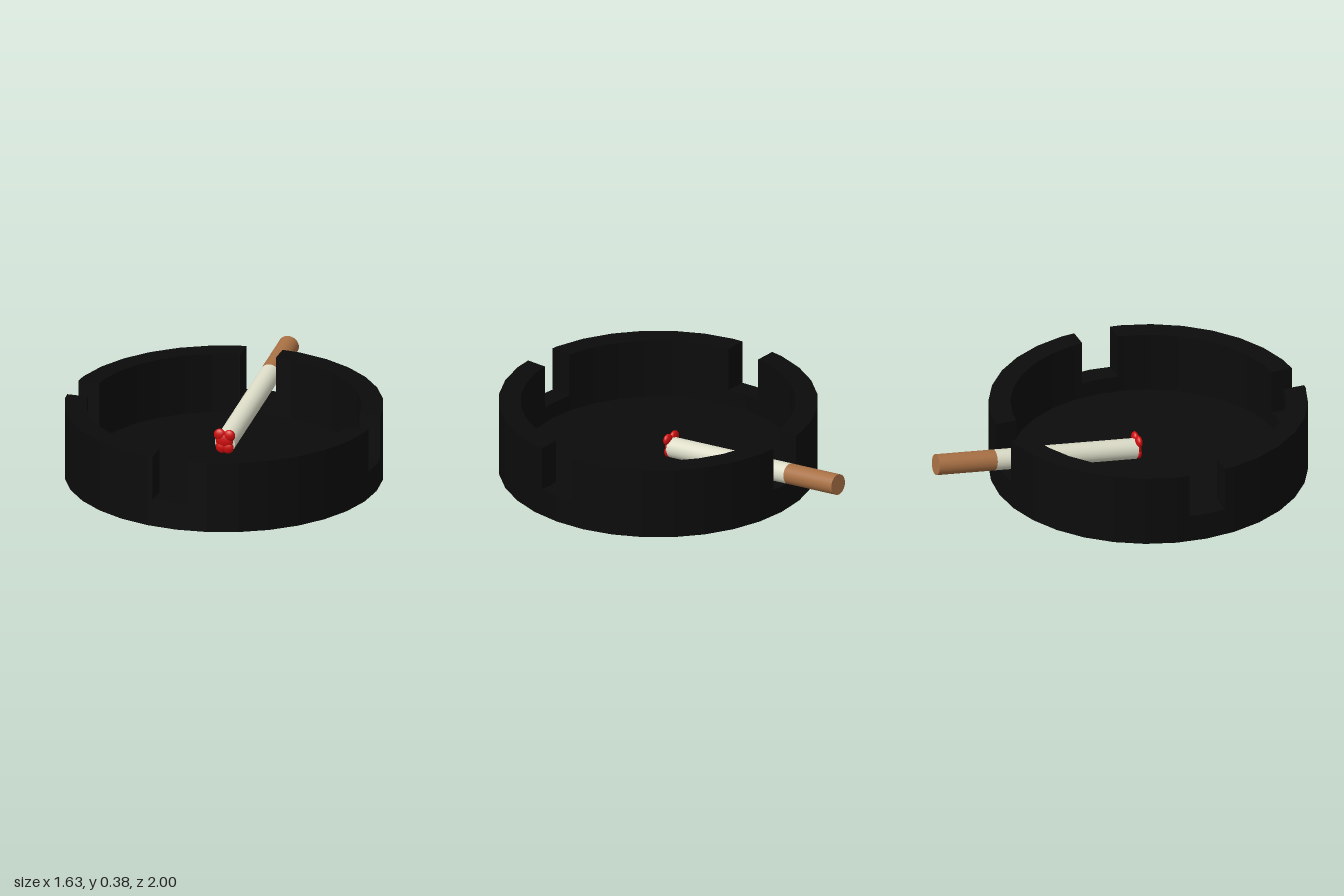
import * as THREE from 'three';

const mat = (name, color, flatShading = false) => {
  const m = new THREE.MeshStandardMaterial({ color, flatShading });
  m.name = name;
  return m;
};

const SIDES = 32, OUTER = 0.817, INNER = 0.705;
const FLOOR = 0.06, SILL = 0.145, RIM = 0.38;

// One quarter of the slotted wall; a and b are the slot edges along x and z
function wallQuarter(sx, sz, a, b) {
  const step = (2 * Math.PI) / SIDES;
  const arc = (r) => {
    const edge = (t) => r - t * Math.tan(step / 2);
    const pts = [[edge(b), b]];
    for (let k = 1; k < SIDES / 4; k++) pts.push([r * Math.cos(k * step), r * Math.sin(k * step)]);
    pts.push([a, edge(a)]);
    return pts;
  };
  const outline = [...arc(OUTER), ...arc(INNER).reverse()];
  const shape = new THREE.Shape(outline.map(([x, z]) => new THREE.Vector2(sx * x, -sz * z)));
  const geo = new THREE.ExtrudeGeometry(shape, { depth: RIM - SILL, bevelEnabled: false });
  return geo.rotateX(-Math.PI / 2).translate(0, SILL, 0);
}

export function createModel() {
  const model = new THREE.Group();
  model.name = 'ashtrayWithCigarette';
  const black = mat('black', 0x0b0b0b, true);
  const paper = mat('paper', 0xdcdcc8);
  const tan = mat('filterBrown', 0xa87044);
  const red = mat('emberRed', 0xd00c0c);

  const add = (parent, name, geo, material) => {
    const mesh = new THREE.Mesh(geo, material);
    mesh.name = name;
    parent.add(mesh);
    return mesh;
  };

  // Tray: dished base and four wall quarters separated by slots
  const tray = new THREE.Group();
  tray.name = 'tray';
  tray.position.z = 0.18;
  model.add(tray);
  const profile = [[0, 0], [OUTER, 0], [OUTER, SILL], [INNER, SILL], [INNER, FLOOR], [0, FLOOR]];
  add(tray, 'base', new THREE.LatheGeometry(profile.map(([x, y]) => new THREE.Vector2(x, y)), SIDES), black);
  for (const sx of [1, -1]) for (const sz of [1, -1]) {
    const name = `wall${sz > 0 ? 'Front' : 'Back'}${sx > 0 ? 'Left' : 'Right'}`;
    add(tray, name, wallQuarter(sx, sz, sx > 0 ? 0.06 : 0.13, sz > 0 ? 0.105 : 0.09), black);
  }

  // Cigarette: local +z runs towards the burning end
  const cigarette = new THREE.Group();
  cigarette.name = 'cigarette';
  cigarette.position.set(-0.02, 0.258, -0.994);
  cigarette.rotation.x = 0.114;
  model.add(cigarette);
  const rod = (name, from, to, material) => add(cigarette, name,
    new THREE.CylinderGeometry(0.054, 0.054, to - from, 32)
      .rotateX(Math.PI / 2).translate(0, 0, (from + to) / 2), material);
  rod('filter', 0, 0.32, tan);
  rod('paperTube', 0.32, 1.1, paper);

  // Ember: flattened lumps on the burning end
  const ember = new THREE.Group();
  ember.name = 'ember';
  ember.position.set(-0.02, 0.145, 0.11);
  model.add(ember);
  const lumps = [[-0.024, 0.037, 0.032], [0.027, 0.037, 0.031], [0, 0.005, 0.046], [-0.014, -0.03, 0.032], [0.018, -0.03, 0.032]];
  lumps.forEach(([x, y, r], i) => {
    const lump = add(ember, `emberLump${i + 1}`, new THREE.SphereGeometry(r, 20, 14), red);
    lump.position.set(x, y, 0);
    lump.scale.z = 0.018 / r;
  });
  return model;
}
